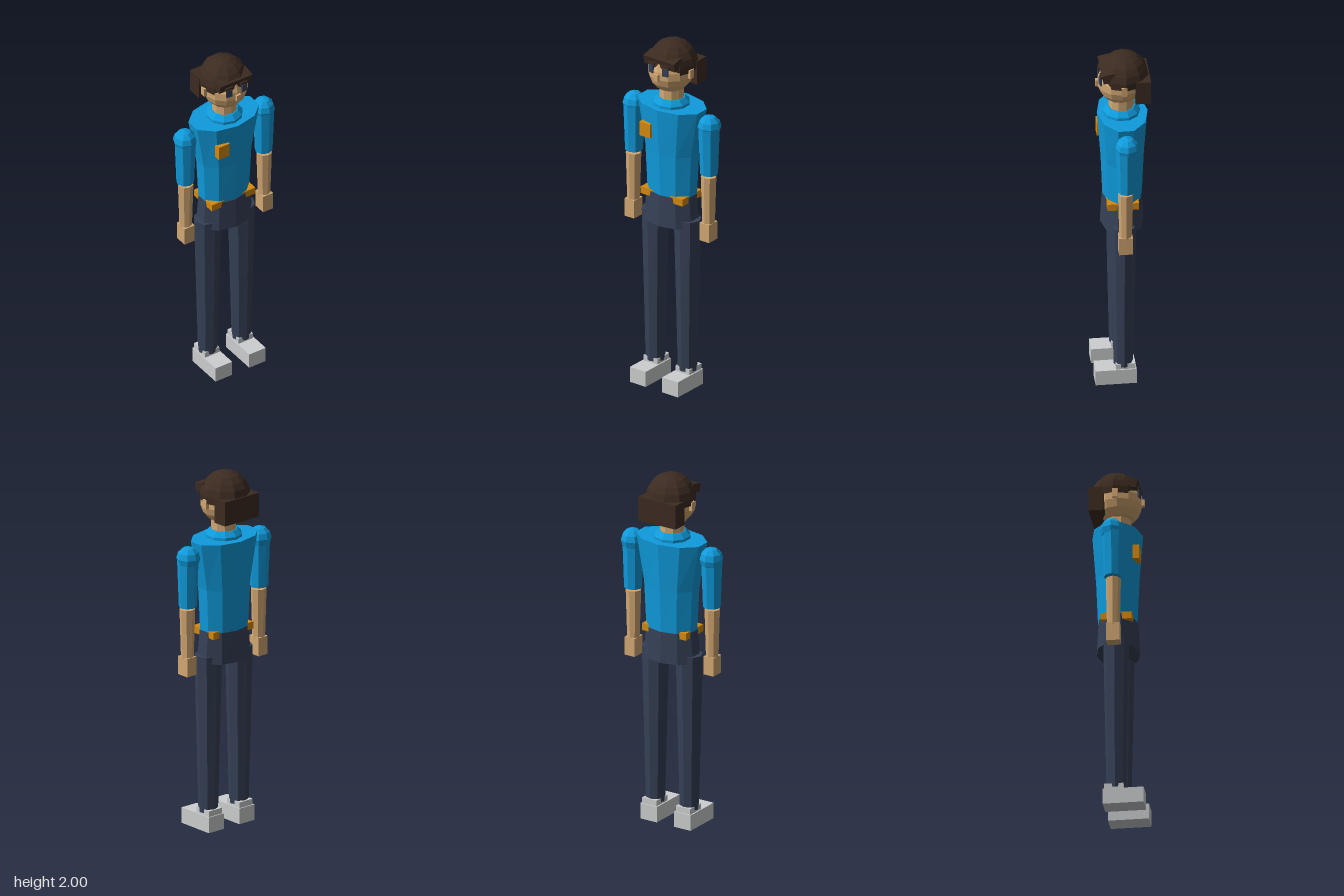
import * as THREE from 'three';

const paint = (name, color) => {
  const m = new THREE.MeshStandardMaterial({ color, flatShading: true });
  m.name = name;
  return m;
};

export function createModel() {
  const shirt = paint('blue shirt', 0x0f9bdc);
  const navy = paint('navy cloth', 0x364157);
  const skin = paint('skin', 0xd3a873);
  const hair = paint('brown hair', 0x3c2b21);
  const gold = paint('amber', 0xd68a10);
  const shoe = paint('light grey', 0xcccecf);
  hair.side = THREE.DoubleSide;

  const model = new THREE.Group();
  model.name = 'figure';

  const add = (parent, name, geo, mat, x = 0, y = 0, z = 0) => {
    const mesh = new THREE.Mesh(geo, mat);
    mesh.name = name;
    mesh.position.set(x, y, z);
    parent.add(mesh);
    return mesh;
  };
  // Box given by its lower and upper corners
  const box = (parent, name, mat, [x0, y0, z0], [x1, y1, z1]) =>
    add(parent, name, new THREE.BoxGeometry(x1 - x0, y1 - y0, z1 - z0), mat,
      (x0 + x1) / 2, (y0 + y1) / 2, (z0 + z1) / 2);
  // Closed loft through elliptical rings [y, rx, rz], bottom to top
  const loft = (parent, name, mat, sides, rings, x = 0, z = 0) => {
    const geo = new THREE.CylinderGeometry(1, 1, 1, sides, rings.length - 1);
    const p = geo.attributes.position;
    for (let i = 0; i < p.count; i++) {
      const k = Math.round((p.getY(i) + 0.5) * (rings.length - 1));
      const [y, rx, rz] = rings[k];
      p.setXYZ(i, p.getX(i) * rx, y, p.getZ(i) * rz);
    }
    geo.computeVertexNormals();
    return add(parent, name, geo, mat, x, 0, z);
  };

  // Torso, hips and belt; the belt shows only at its corners
  loft(model, 'torso', shirt, 10,
    [[1.12, 0.149, 0.106], [1.36, 0.161, 0.116], [1.63, 0.21, 0.136]], 0, -0.01);
  loft(model, 'collar', shirt, 10,
    [[1.62, 0.1, 0.1], [1.645, 0.1, 0.1], [1.672, 0.075, 0.075]], 0, -0.005);
  loft(model, 'hips', navy, 10, [[0.945, 0.165, 0.117], [1.121, 0.15, 0.107]], 0, -0.007);
  box(model, 'belt', gold, [-0.14, 1.09, -0.085], [0.14, 1.13, 0.083]);
  box(model, 'chestBadge', gold, [-0.12, 1.45, 0.085], [-0.05, 1.53, 0.12]);

  // Head and face
  const head = new THREE.Group();
  head.name = 'head';
  model.add(head);
  loft(head, 'neck', skin, 10, [[1.62, 0.068, 0.068], [1.75, 0.068, 0.068]], 0, -0.005);
  add(head, 'face', new THREE.SphereGeometry(0.125, 12, 9), skin, 0, 1.83, 0);
  box(head, 'nose', skin, [-0.013, 1.805, 0.1], [0.013, 1.842, 0.135]);

  // Hair cap, back block and tilted fringe
  add(head, 'hairCap',
    new THREE.SphereGeometry(0.135, 10, 6, 0, Math.PI * 2, 0, Math.PI * 0.56), hair, 0, 1.865, -0.018);
  box(head, 'hairBack', hair, [-0.12, 1.745, -0.152], [0.12, 1.88, -0.07]);
  const fringe = add(head, 'fringe', new THREE.BoxGeometry(0.206, 0.05, 0.072), hair, 0, 1.905, 0.07);
  fringe.rotation.x = 0.22;

  for (const s of [-1, 1]) {
    const side = s < 0 ? 'right' : 'left';

    // Eyes, brows and ears
    const eye = add(head, side + 'Eye', new THREE.BoxGeometry(0.034, 0.045, 0.009), navy,
      s * 0.047, 1.86, 0.112);
    eye.rotation.y = s * 0.2;
    add(head, side + 'Brow', new THREE.BoxGeometry(0.045, 0.012, 0.02), hair, s * 0.047, 1.89, 0.105);
    add(head, side + 'Ear', new THREE.BoxGeometry(0.03, 0.05, 0.03), skin, s * 0.123, 1.835, -0.007);

    // Arm: shoulder ball, sleeve, forearm and hand
    const arm = new THREE.Group();
    arm.name = side + 'Arm';
    model.add(arm);
    const ax = s * 0.252;
    add(arm, 'shoulder', new THREE.SphereGeometry(0.064, 8, 6), shirt, ax, 1.561, -0.008);
    loft(arm, 'sleeve', shirt, 8, [[1.285, 0.049, 0.047], [1.56, 0.058, 0.058]], ax, -0.004);
    loft(arm, 'forearm', skin, 8, [[0.99, 0.034, 0.034], [1.272, 0.043, 0.041]], ax, 0);
    box(arm, 'hand', skin, [ax - 0.032, 0.9, -0.036], [ax + 0.032, 1.003, 0.038]);

    // Leg: trouser leg, ankle and shoe
    const leg = new THREE.Group();
    leg.name = side + 'Leg';
    model.add(leg);
    const lx = s * 0.108;
    loft(leg, 'trouserLeg', navy, 8,
      [[0.1, 0.053, 0.052], [0.53, 0.064, 0.061], [0.985, 0.077, 0.07]], lx, -0.004);
    box(leg, 'ankle', shoe, [lx - 0.046, 0.08, -0.064], [lx + 0.046, 0.12, 0.04]);
    box(leg, 'shoe', shoe, [lx - 0.053, 0, -0.07], [lx + 0.053, 0.088, 0.15]);
  }
  return model;
}
